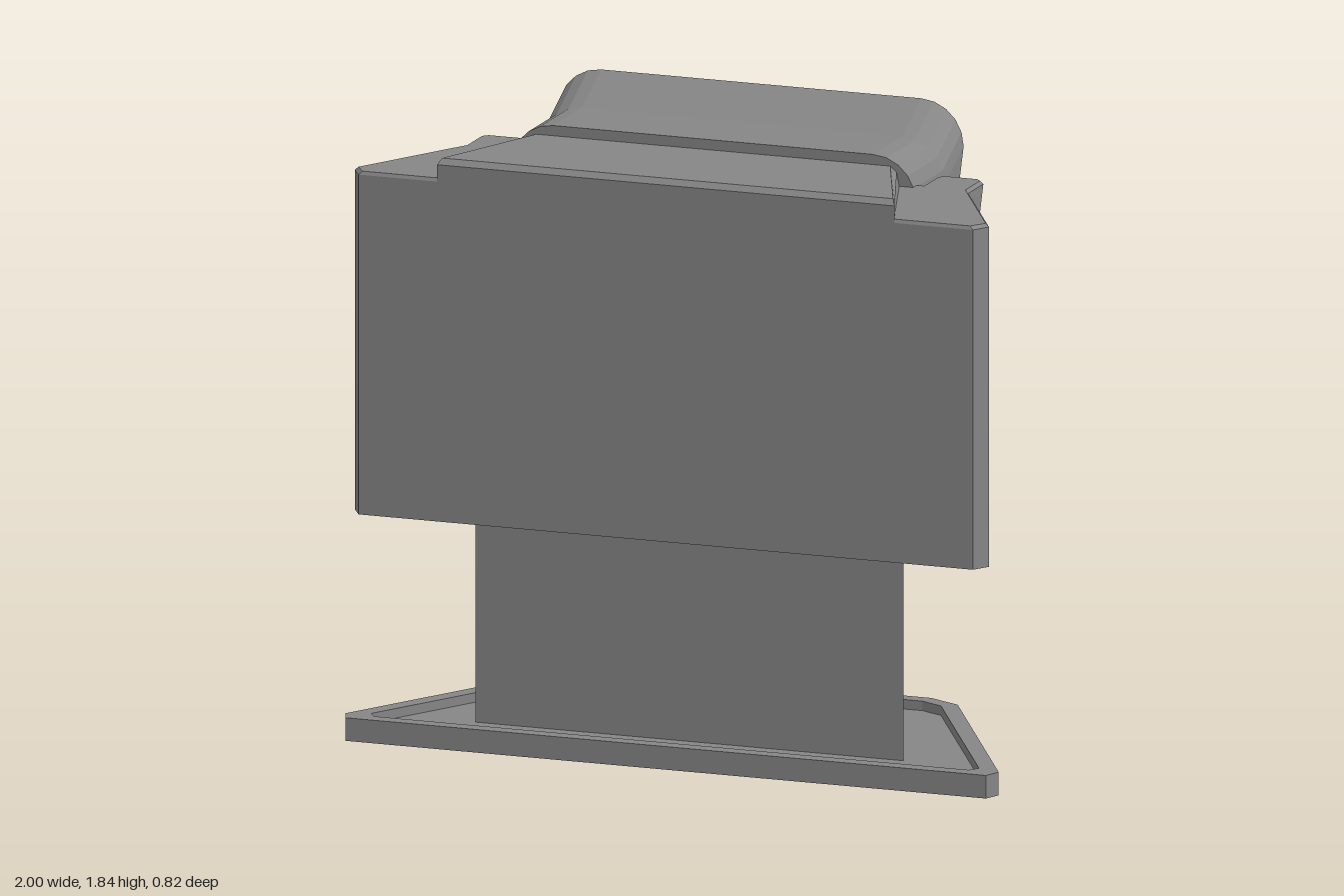
import * as THREE from 'three';

const material = new THREE.MeshStandardMaterial({ color: 0x868686, flatShading: true });
const SLOPE = 0.555; // how fast the plan widens towards the front

// Skin a list of equal-length rings of [x, y, z]; convex ends are capped, faces turned outwards.
function loft(rings, closed = false) {
  const n = rings[0].length, pos = rings.flat(2), tris = [];
  const last = closed ? rings.length : rings.length - 1;
  for (let r = 0; r < last; r++) for (let i = 0; i < n; i++) {
    const j = (i + 1) % n, a = r * n, b = ((r + 1) % rings.length) * n;
    tris.push(a + i, a + j, b + j, a + i, b + j, b + i);
  }
  if (!closed) for (let i = 1; i < n - 1; i++) {
    const e = (rings.length - 1) * n;
    tris.push(0, i + 1, i, e, e + i, e + i + 1);
  }
  const p = (i) => new THREE.Vector3().fromArray(pos, i * 3);
  let volume = 0;
  for (let t = 0; t < tris.length; t += 3) volume += p(tris[t]).dot(p(tris[t + 1]).cross(p(tris[t + 2])));
  if (volume < 0) tris.reverse();
  const g = new THREE.BufferGeometry();
  g.setAttribute('position', new THREE.Float32BufferAttribute(pos, 3));
  g.setIndex(tris);
  const flat = g.toNonIndexed();
  flat.computeVertexNormals();
  return flat;
}

// Half outline [x, z] mirrored to a full plan ring
const mirrored = (half) => [...half, ...half.map(([x, z]) => [-x, z]).reverse()];
const ringAt = (plan, y) => plan.map(([x, z]) => [x, y, z]);
const toShape = (pts) => new THREE.Shape(pts.map(([x, y]) => new THREE.Vector2(x, y)));

// Vertical extrusion of a plan outline
const slab = (plan, y0, y1) =>
  new THREE.ExtrudeGeometry(toShape(plan.map(([x, z]) => [x, -z])), { depth: y1 - y0, bevelEnabled: false })
    .rotateX(-Math.PI / 2).translate(0, y0, 0);

// Extrusion of an x-y outline from z0 back to z1
const plate = (pts, z0, z1) =>
  new THREE.ExtrudeGeometry(toShape(pts), { depth: z0 - z1, bevelEnabled: false }).translate(0, 0, z1);

const box = (w, h, d, x, y, z) => new THREE.BoxGeometry(w, h, d).translate(x, y, z);

// Counter-clockwise frame outline; inset moves it inwards. Extra side points carry the hood's cut line.
function frameOutline(inset) {
  const R = 0.13, r = R - inset, pts = [];
  const corner = (cx, cy, a0) => {
    for (let i = 0; i <= 5; i++) {
      const a = a0 + (i / 5) * Math.PI / 2;
      pts.push([cx + r * Math.cos(a), cy + r * Math.sin(a)]);
    }
  };
  const side = [1.385, 1.395, 1.45, 1.53], w = 0.62, top = 1.767, bottom = 1.0;
  corner(w - R, bottom + R, -Math.PI / 2);
  side.forEach((y) => pts.push([w - inset, y]));
  corner(w - R, top - R, 0);
  corner(-w + R, top - R, Math.PI / 2);
  [...side].reverse().forEach((y) => pts.push([-w + inset, y]));
  corner(-w + R, bottom + R, Math.PI);
  return pts;
}

// How far back the hood reaches at a given height
function hoodEnd(y) {
  if (y > 1.63) return -0.355;
  if (y > 1.52) return -0.29;
  if (y > 1.44) return -0.22;
  return -0.105;
}

function hoodGeometry() {
  const row = (outline, z) => outline.map(([x, y]) => {
    const zz = Math.max(z, hoodEnd(y));
    const lift = y > 1.63 ? Math.max(0, -0.2 - zz) * 0.5 : 0;
    return [x, y + lift, zz];
  });
  const outer = frameOutline(0), inner = frameOutline(0.045);
  return loft([
    row(outer, 0.03), row(outer, -0.2), row(outer, -1),
    row(inner, -1), row(inner, -0.2), row(inner, 0.03),
  ], true);
}

export function createModel() {
  const model = new THREE.Group();
  const add = (name, geometry, parent = model) => {
    const mesh = new THREE.Mesh(geometry, material);
    mesh.name = name;
    parent.add(mesh);
    return mesh;
  };

  // Foot plate with a raised rim around a sunken floor
  const foot = mirrored([[0.98, 0.41], [1, 0.36], [0.6, -0.36], [0.5, -0.41]]);
  const footInner = mirrored([[0.91, 0.365], [0.93, 0.335], [0.56, -0.33], [0.49, -0.365]]);
  add('foot', loft([ringAt(foot, 0), ringAt(foot, 0.068), ringAt(footInner, 0.068), ringAt(footInner, 0.04)]));

  // Pedestal with a recess in its back
  add('pedestal', slab(mirrored([[0.655, 0.22], [0.51, -0.125], [0.335, -0.125], [0.265, -0.04]]), 0.03, 0.68));
  add('recessPanel', box(0.4, 0.38, 0.02, 0, 0.36, -0.035));
  const sillRing = (x) => [[x, 0.03, -0.12], [x, 0.1, -0.03], [x, 0.03, -0.03]];
  add('recessSill', loft([sillRing(-0.33), sillRing(0.33)]));
  for (const s of [1, -1]) {
    const bracket = [[0.345, 0.16], [0.29, 0.2], [0.29, 0.38], [0.345, 0.43]];
    add('pillarBracket', plate(bracket.map(([x, y]) => [s * x, y]), -0.03, -0.124));
    const slot = new THREE.Group();
    slot.name = 'pillarSlot';
    for (const dx of [-0.013, 0.013]) add('slotSide', box(0.009, 0.24, 0.02, s * 0.43 + dx, 0.435, -0.122), slot);
    for (const y of [0.32, 0.55]) add('slotEnd', box(0.034, 0.01, 0.02, s * 0.43, y, -0.122), slot);
    model.add(slot);
  }

  // Cabinet body, its back leaning out below the screen
  const bodyRing = (y, back, inset = 0) => ringAt(mirrored([
    [0.94 - inset, 0.41 - inset / 2], [0.97 - inset, 0.36], [0.77 + SLOPE * back - inset, back]]), y);
  add('body', loft([bodyRing(0.67, -0.085), bodyRing(0.74, -0.07), bodyRing(1, 0),
    bodyRing(1.67, 0), bodyRing(1.68, 0, 0.01)]));

  // Raised roof panel
  const roofRing = (y, front, back, z) => ringAt(mirrored([[front, z], [back, 0.025]]), y);
  add('roof', loft([roofRing(1.67, 0.7, 0.57, 0.41), roofRing(1.72, 0.7, 0.56, 0.41), roofRing(1.737, 0.69, 0.54, 0.395)]));

  // Side wings beside the hood
  for (const s of [1, -1]) {
    const wingRing = (y, back, inset) => ringAt([[0.635, 0.02], [0.77 - inset, 0.02],
      [0.77 - inset, back + 0.015], [0.755 - inset, back], [0.65, back], [0.635, back + 0.015]]
      .map(([x, z]) => [s * x, z]), y);
    add('wing', loft([wingRing(1.34, -0.02, 0), wingRing(1.67, -0.135, 0), wingRing(1.68, -0.13, 0.008)]));
  }

  // Hood and screen
  add('hood', hoodGeometry());
  add('screen', plate(frameOutline(0.04), 0.028, -0.005));
  add('screenTab', plate([[-0.28, 1.03], [0.28, 1.03], [0.21, 1.105], [-0.21, 1.105]], 0, -0.1));
  for (const s of [1, -1]) add('tabClip', box(0.02, 0.075, 0.11, s * 0.165, 1.063, -0.053));

  // Sloping control strip: a long raised bar and a framed button at each end
  const strip = new THREE.Group();
  strip.name = 'controlStrip';
  strip.position.set(0, 0.867, -0.036);
  strip.rotation.x = Math.atan2(0.07, 0.26);
  const rect = (x, a, b, z) => [[x - a, -b, z], [x + a, -b, z], [x + a, b, z], [x - a, b, z]];
  add('controlPanel', loft([rect(0, 0.47, 0.065, 0.01), rect(0, 0.47, 0.065, -0.012), rect(0, 0.455, 0.05, -0.012),
    rect(0, 0.455, 0.05, -0.004), rect(0, 0.44, 0.04, -0.004), rect(0, 0.435, 0.035, -0.03)]), strip);
  for (const s of [1, -1]) {
    const x = s * 0.545;
    add('button', loft([rect(x, 0.055, 0.06, 0.01), rect(x, 0.055, 0.06, -0.014), rect(x, 0.04, 0.045, -0.014),
      rect(x, 0.035, 0.04, -0.004)]), strip);
  }
  model.add(strip);

  // Shelf: two flat sides with rounded rims and a middle that slopes to the edge
  for (const s of [1, -1]) {
    const sideRing = (y, d) => ringAt([[0.77 - d, 0], [0.575 - d, -0.36 + d / 2], [0.49 - d / 2, -0.41 + d],
      [0.29 + d * 0.458, -0.41 + d], [0.478, 0]].map(([x, z]) => [s * x, z]), y);
    add('shelfSide', loft([sideRing(0.67, 0), sideRing(0.72, 0), sideRing(0.735, 0.012), sideRing(0.74, 0.028)]));
  }
  const middleRing = (z, w, y) => [[-w, 0.67, z], [w, 0.67, z], [w, y, z], [-w, y, z]];
  add('shelfMiddle', loft([middleRing(0, 0.478, 0.74), middleRing(-0.17, 0.4, 0.74),
    middleRing(-0.38, 0.304, 0.718), middleRing(-0.41, 0.29, 0.705)]));

  return model;
}
